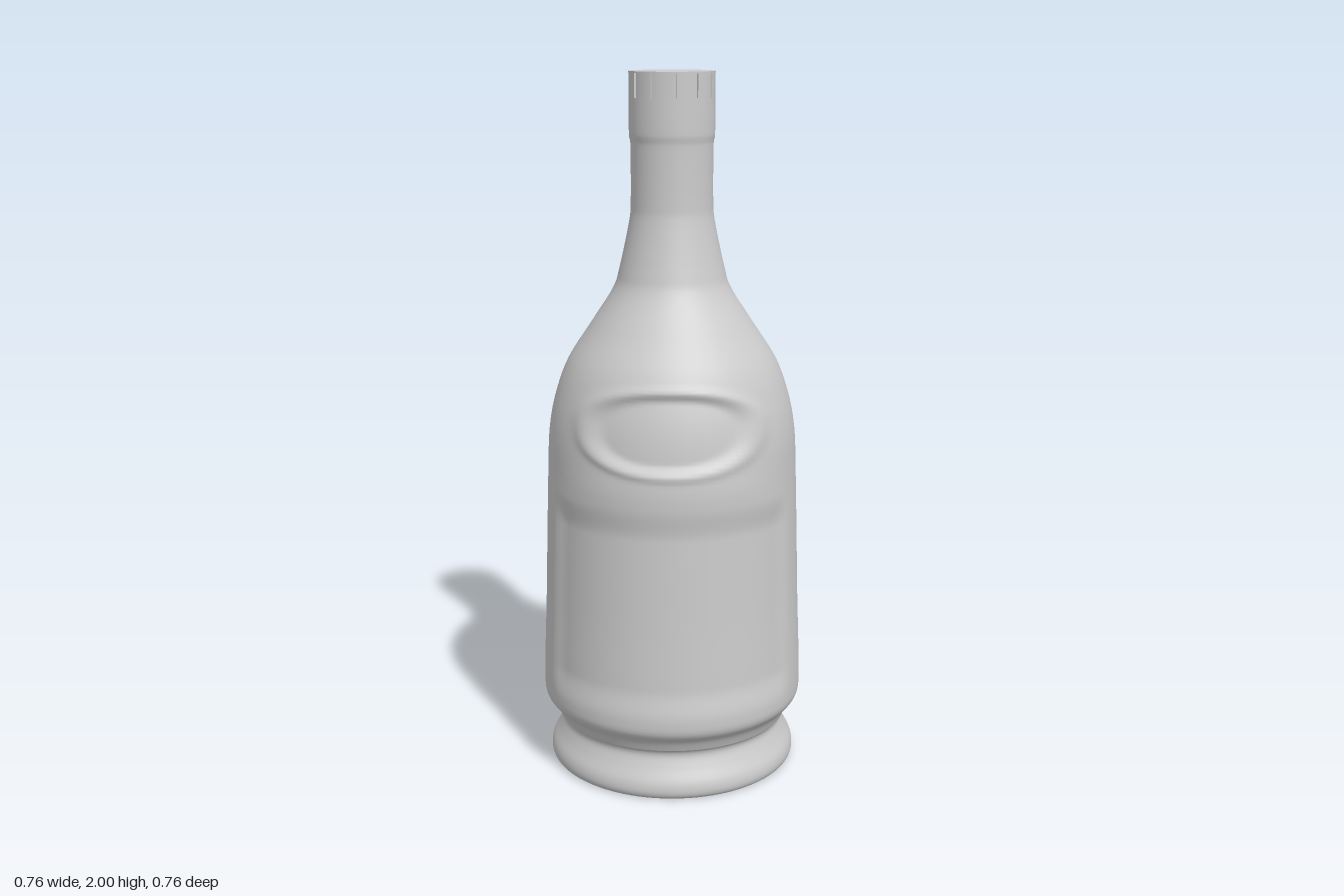
import * as THREE from 'three';
import { mergeVertices } from 'three/addons/utils/BufferGeometryUtils.js';

const material = new THREE.MeshStandardMaterial({ color: 0xcccccc });
const SIDES = 120;
const { smoothstep } = THREE.MathUtils;

// Smooth curve through [radius, height] pairs
const profile = (pairs, count) =>
  new THREE.SplineCurve(pairs.map(([r, y]) => new THREE.Vector2(r, y))).getSpacedPoints(count);

// Radial offset of the front surface: sunken label panel and rimmed oval badge
function frontRelief(angle, x, y) {
  const a = Math.abs(angle);
  const panel = (1 - smoothstep(a, 0.98, 1.14)) * smoothstep(y, 0.24, 0.33) * (1 - smoothstep(y, 0.76, 0.85));
  const bulge = Math.exp(-(((y - 0.89) / 0.05) ** 2)) * (1 - smoothstep(a, 0.5, 1.1));
  let offset = -0.011 * panel + 0.004 * bulge;
  if (a < Math.PI / 2) {
    const u = Math.abs(x) / 0.225;
    const v = Math.abs(y - 1.055) / 0.105;
    const d = Math.pow(u ** 2.4 + v ** 2.4, 1 / 2.4);
    offset -= 0.013 * (1 - smoothstep(d, 0.8, 1.02));
    offset += 0.006 * Math.exp(-(((d - 1.08) / 0.09) ** 2));
  }
  return offset;
}

function makeBody() {
  const points = profile([
    [0.336, 0.14], [0.35, 0.17], [0.374, 0.2], [0.379, 0.24], [0.376, 0.35], [0.37, 0.5],
    [0.364, 0.7], [0.358, 0.88], [0.352, 1.0], [0.333, 1.1], [0.296, 1.2], [0.232, 1.3],
    [0.168, 1.4], [0.148, 1.46], [0.12, 1.59], [0.115, 1.65], [0.115, 1.8],
    [0.119, 1.83], [0.119, 1.93],
  ], 190);
  const geometry = new THREE.LatheGeometry(points, SIDES, Math.PI);
  const p = geometry.attributes.position;
  for (let i = 0; i < p.count; i++) {
    const x = p.getX(i), y = p.getY(i), z = p.getZ(i);
    const r = Math.hypot(x, z);
    const angle = Math.atan2(x, z);
    const scale = (r + frontRelief(angle, x, y)) / r;
    p.setX(i, x * scale);
    p.setZ(i, z * scale);
  }
  geometry.deleteAttribute('uv');
  geometry.deleteAttribute('normal');
  const welded = mergeVertices(geometry, 1e-5);
  welded.computeVertexNormals();
  return welded;
}

// Curved block standing proud of the cap
function makeTab(inner, outer, width, height) {
  const shape = new THREE.Shape();
  shape.absarc(0, 0, outer, -width / 2, width / 2, false);
  shape.absarc(0, 0, inner, width / 2, -width / 2, true);
  const geometry = new THREE.ExtrudeGeometry(shape, { depth: height, bevelEnabled: false, curveSegments: 6 });
  return geometry.rotateX(-Math.PI / 2);
}

export function createModel() {
  const model = new THREE.Group();
  const add = (name, geometry, y = 0, parent = model) => {
    const mesh = new THREE.Mesh(geometry, material);
    mesh.name = name;
    mesh.position.y = y;
    parent.add(mesh);
    return mesh;
  };

  // Bottle from the waist above the foot up to the cap
  add('body', makeBody());

  // Flared foot with a flat underside
  const foot = profile([
    [0.348, 0], [0.357, 0.008], [0.361, 0.025], [0.356, 0.05], [0.338, 0.085],
    [0.326, 0.115], [0.328, 0.132], [0.336, 0.14],
  ], 30);
  add('foot', new THREE.LatheGeometry(foot, SIDES));
  add('underside', new THREE.CircleGeometry(0.348, SIDES).rotateX(Math.PI / 2));

  // Cap: core, ring of tabs and flat top
  const cap = new THREE.Group();
  cap.name = 'cap';
  model.add(cap);
  add('capCore', new THREE.CylinderGeometry(0.114, 0.114, 0.07, 60), 1.962, cap);
  add('capLedge', new THREE.RingGeometry(0.11, 0.119, SIDES).rotateX(-Math.PI / 2), 1.93, cap);
  add('capTop', new THREE.CylinderGeometry(0.12, 0.12, 0.005, 60), 1.9975, cap);
  const tab = makeTab(0.112, 0.119, 0.43, 0.066);
  for (let i = 0; i < 12; i++) {
    add('capTab', tab, 1.93, cap).rotation.y = (i / 12) * Math.PI * 2 - Math.PI / 2 - 0.18;
  }
  return model;
}
